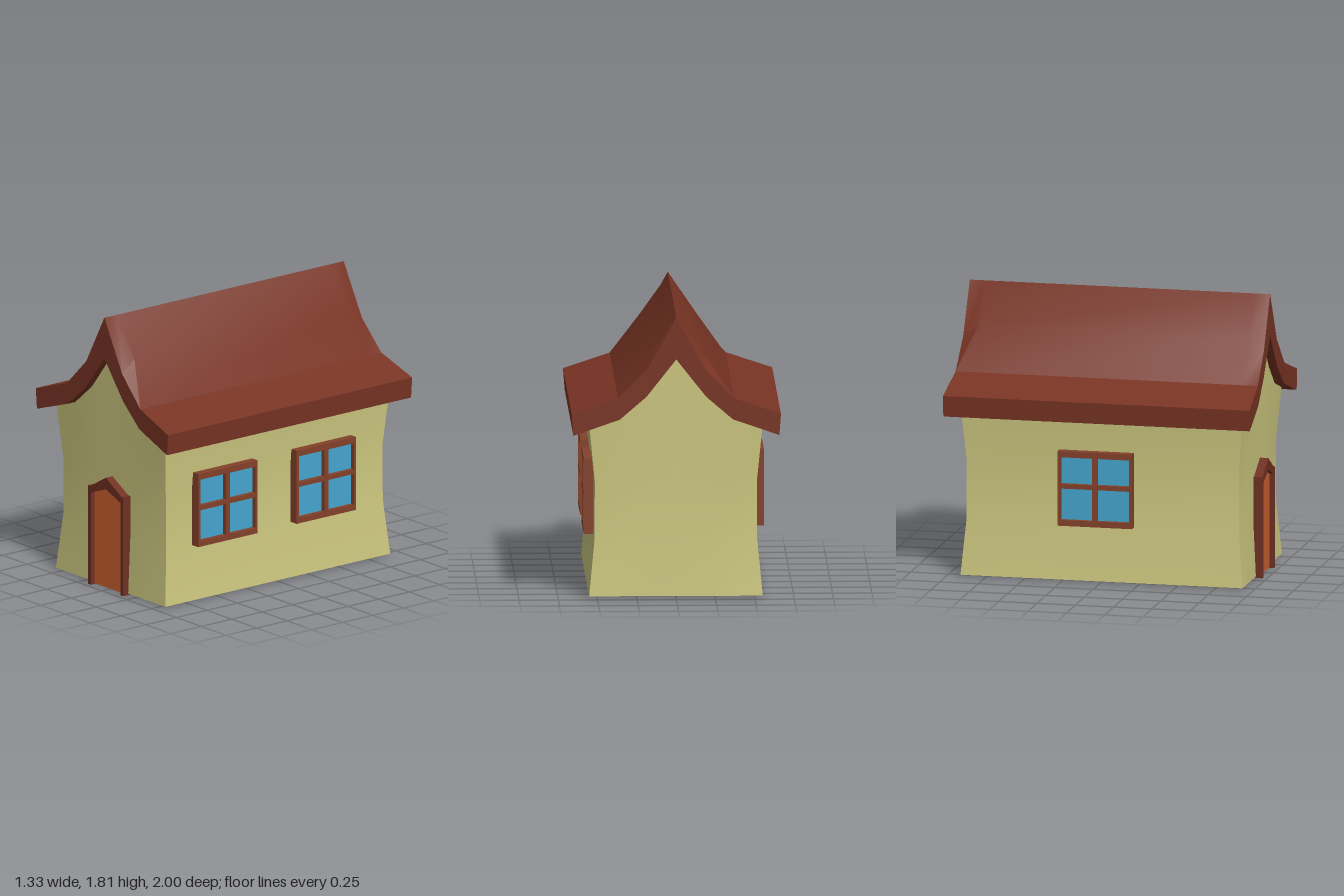
import * as THREE from 'three';
import { toCreasedNormals } from 'three/addons/utils/BufferGeometryUtils.js';

const mat = (color) => new THREE.MeshStandardMaterial({ color });
const wallMat = mat(0xcdc880), roofMat = mat(0x783424), frameMat = mat(0x84422a);
const glassMat = mat(0x45a5ce), doorMat = mat(0xcb6030), trimMat = mat(0x6f3022);

// Half profiles of the roof, from ridge to eave
const ROOF_TOP = [[0, 1.81], [0.18, 1.48], [0.37, 1.29], [0.665, 1.19]];
const ROOF_UNDER = [[0, 1.54], [0.19, 1.30], [0.36, 1.155], [0.655, 1.055]];

function add(parent, name, geometry, material) {
  const mesh = new THREE.Mesh(geometry, material);
  mesh.name = name;
  parent.add(mesh);
  return mesh;
}

const mirrorProfile = (half) => [...half.slice(1).reverse().map(([x, y]) => [-x, y]), ...half];

function polygon(points) {
  return new THREE.Shape(points.map(([x, y]) => new THREE.Vector2(x, y)));
}

function extrude(shape, depth) {
  return new THREE.ExtrudeGeometry(shape, { depth, bevelEnabled: false });
}

// Pinched box whose top row follows the underside of the roof
function wallGeometry() {
  const geo = new THREE.BoxGeometry(2, 3, 2, 6, 3, 1);
  const p = geo.attributes.position;
  const halfW = [0.552, 0.517, 0.515, 0.55], halfD = [0.92, 0.905, 0.905, 0.918];
  const rows = [0.01, 0.37, 0.74], top = [1.555, 1.31, 1.165, 1.1];
  for (let i = 0; i < p.count; i++) {
    const u = p.getX(i), row = Math.round(p.getY(i) + 1.5), w = Math.sign(p.getZ(i));
    const y = row < 3 ? rows[row] : top[Math.round(Math.abs(u) * 3)];
    const bulge = row === 1 || row === 2 ? 0.017 * u * u : 0;
    p.setXYZ(i, u * halfW[row], y, w * (halfD[row] - bulge) + 0.008);
  }
  geo.computeVertexNormals();
  return geo;
}

// Closed roof section lofted along z; the slope dips towards both gable ends
function roofGeometry() {
  const under = mirrorProfile(ROOF_UNDER).reverse();
  const fullTop = ROOF_TOP.map(([x, y], i) => (i === 1 ? [x, 1.557] : [x, y]));
  const ends = [...mirrorProfile(ROOF_TOP), ...under];
  const middle = [...mirrorProfile(fullTop), ...under];
  const n = ends.length, pos = [], idx = [];
  const endZ = (x) => 0.98 + 0.02 * (x / 0.66) ** 2;
  ends.forEach(([x, y]) => pos.push(x, y, -endZ(x)));
  middle.forEach(([x, y]) => pos.push(x, y, -0.88));
  middle.forEach(([x, y]) => pos.push(x, y, 0.88));
  ends.forEach(([x, y]) => pos.push(x, y, endZ(x)));
  const quad = (a, b, c, d) => idx.push(a, b, c, a, c, d);
  for (let k = 0; k < 3; k++) {
    for (let i = 0; i < n; i++) {
      const j = (i + 1) % n;
      quad(k * n + i, (k + 1) * n + i, (k + 1) * n + j, k * n + j);
    }
  }
  for (let i = 0; i < n / 2 - 1; i++) {
    const f = 3 * n;
    quad(f + i, f + n - 1 - i, f + n - 2 - i, f + i + 1);
    quad(i, i + 1, n - 2 - i, n - 1 - i);
  }
  const geo = new THREE.BufferGeometry();
  geo.setAttribute('position', new THREE.Float32BufferAttribute(pos, 3));
  geo.setIndex(idx);
  return toCreasedNormals(geo, 0.45);
}

// Four-pane window on the wall at side = 1 (left) or -1 (right)
function addWindow(parent, name, side, z) {
  const win = new THREE.Group();
  win.name = name;
  const frame = polygon([[-0.243, 0.365], [0.243, 0.365], [0.243, 0.85], [-0.243, 0.85]]);
  for (const [x0, x1] of [[-0.225, -0.016], [0.016, 0.225]]) {
    for (const [y0, y1] of [[0.403, 0.607], [0.637, 0.81]]) {
      frame.holes.push(polygon([[x0, y0], [x0, y1], [x1, y1], [x1, y0]]));
    }
  }
  add(win, 'windowFrame', extrude(frame, 0.075), frameMat);
  add(win, 'windowGlass', new THREE.BoxGeometry(0.46, 0.43, 0.04), glassMat).position.set(0, 0.607, 0.025);
  win.rotation.y = side * Math.PI / 2;
  win.position.set(side * 0.503, 0, z);
  parent.add(win);
}

function addDoor(parent) {
  const door = new THREE.Group();
  door.name = 'door';
  const panel = polygon([[-0.16, 0.005], [0.16, 0.005], [0.16, 0.62], [0, 0.69], [-0.16, 0.62]]);
  add(door, 'doorPanel', extrude(panel, 0.06), doorMat).position.z = 0.88;
  // Peaked lintel between two posts
  const lintel = polygon([[-0.155, 0.61], [0, 0.668], [0.155, 0.61], [0.155, 0.655], [0, 0.745], [-0.155, 0.655]]);
  add(door, 'doorLintel', extrude(lintel, 0.1), trimMat).position.z = 0.868;
  for (const s of [-1, 1]) {
    add(door, 'doorPost', new THREE.BoxGeometry(0.028, 0.655, 0.1), trimMat).position.set(s * 0.162, 0.3275, 0.92);
  }
  parent.add(door);
}

export function createModel() {
  const house = new THREE.Group();
  house.name = 'house';
  add(house, 'walls', wallGeometry(), wallMat);
  add(house, 'roof', roofGeometry(), roofMat);
  addDoor(house);
  addWindow(house, 'leftFrontWindow', 1, 0.438);
  addWindow(house, 'leftBackWindow', 1, -0.368);
  addWindow(house, 'rightWindow', -1, -0.03);
  return house;
}
